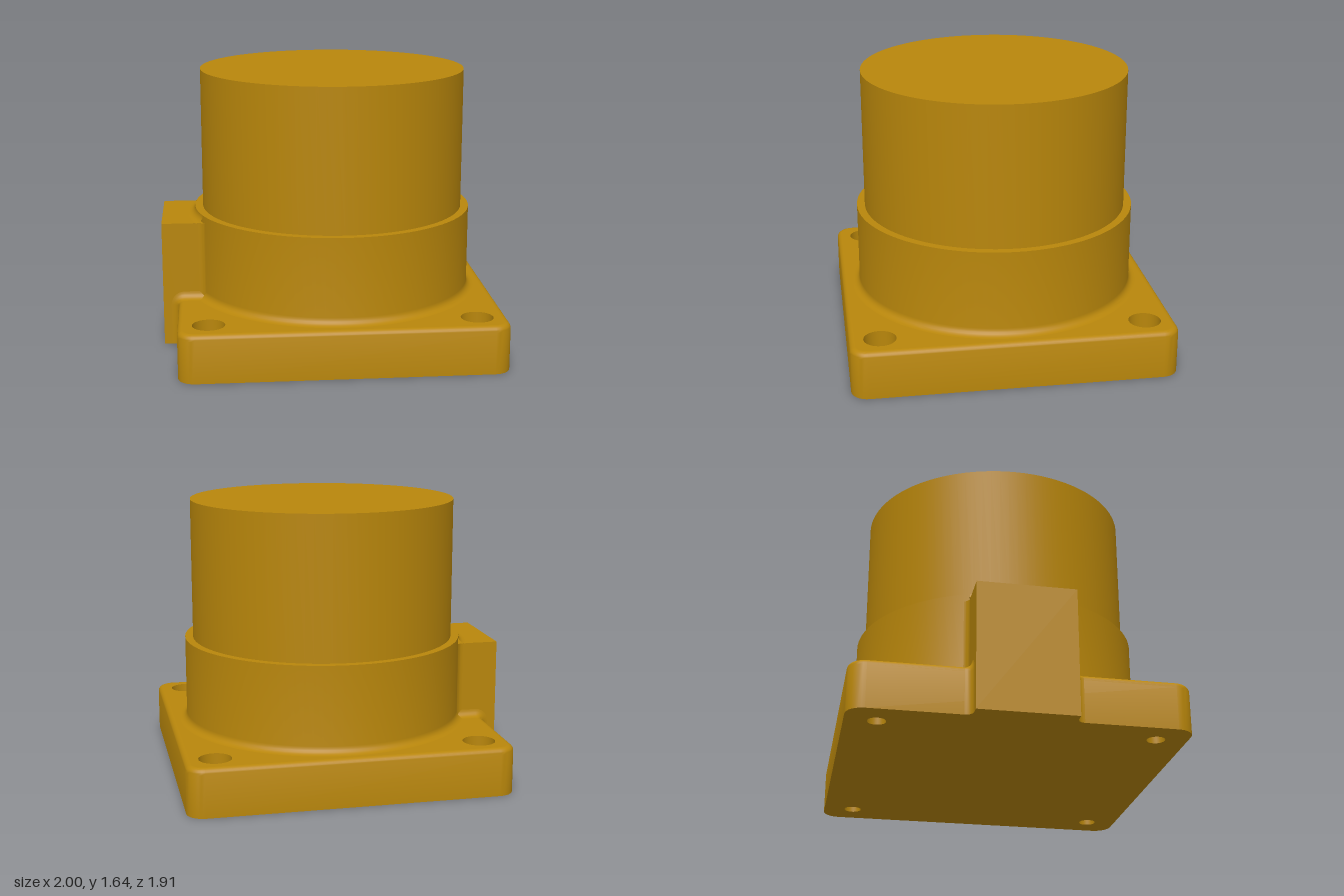
import * as THREE from 'three';
import { toCreasedNormals } from 'three/addons/utils/BufferGeometryUtils.js';

const CX = 0.045;      // axis of the round body
const HALF = 0.953;    // half width of the square flange
const TOP = 0.285;     // flange height
const CORNER = 0.1;    // flange corner radius
const EDGE = 0.035;    // rounded top edge of the flange
const FILLET = 0.045;  // concave fillets
const COLLAR_R = 0.845, COLLAR_TOP = 0.8;
const BODY_R = 0.797, BODY_TOP = 1.645;
const BLOCK_Z = 0.283, BLOCK_TOP = 0.755;
const SIDE_X = CX - HALF; // flange side that carries the block
const HOLE_AT = 0.775, BORE_R = 0.095, HOLE_R = 0.052, BORE_FLOOR = 0.14;

const quarter = (n) => Array.from({ length: n + 1 }, (_, i) => (i / n) * Math.PI / 2);

// Smooth skin over rows of [x, y, z] points
function skin(rows) {
  const w = rows[0].length, index = [];
  for (let i = 0; i < rows.length - 1; i++) {
    for (let j = 0; j < w - 1; j++) {
      const a = i * w + j, b = a + w;
      index.push(a, a + 1, b, b, a + 1, b + 1);
    }
  }
  const geo = new THREE.BufferGeometry();
  geo.setAttribute('position', new THREE.Float32BufferAttribute(rows.flat(2), 3));
  geo.setIndex(index);
  return toCreasedNormals(geo, Math.PI / 6);
}

function lathe(points, segments, start = 0, sweep = Math.PI * 2) {
  const pts = points.map(([x, y]) => new THREE.Vector2(x, y));
  return toCreasedNormals(new THREE.LatheGeometry(pts, segments, start, sweep), Math.PI / 6);
}

// Rounded square outline, drawn in by an inset
function outline(inset) {
  const pts = [], c = HALF - CORNER, r = CORNER - inset;
  [[1, 1], [-1, 1], [-1, -1], [1, -1]].forEach(([sx, sz], k) => {
    for (const t of quarter(8)) {
      const a = t + k * Math.PI / 2;
      pts.push([CX + sx * c + r * Math.cos(a), sz * c + r * Math.sin(a)]);
    }
  });
  return pts;
}

export function createModel() {
  const model = new THREE.Group();
  const material = new THREE.MeshStandardMaterial({ color: 0xb8860b });
  const openMaterial = new THREE.MeshStandardMaterial({ color: 0xb8860b, side: THREE.DoubleSide });
  const add = (name, geo, mat = material) => {
    const mesh = new THREE.Mesh(geo, mat);
    mesh.name = name;
    model.add(mesh);
    return mesh;
  };

  // Flange wall with rounded upper edge
  const layers = [[0, 0], ...quarter(6).map((t) =>
    [EDGE * (1 - Math.cos(t)), TOP - EDGE + EDGE * Math.sin(t)])];
  add('flangeWall', skin(layers.map(([inset, y]) => {
    const loop = outline(inset).map(([x, z]) => [x, y, z]);
    return [...loop, loop[0]];
  })), openMaterial);

  // Flange faces, pierced at the four corners
  const holes = [];
  for (const sx of [-1, 1]) for (const sz of [-1, 1]) holes.push([CX + sx * HOLE_AT, sz * HOLE_AT]);
  const face = (name, inset, y, radius, up) => {
    const shape = new THREE.Shape(outline(inset).map(([x, z]) => new THREE.Vector2(x, z)));
    for (const [x, z] of holes) {
      shape.holes.push(new THREE.Path().absarc(x, z, radius, 0, Math.PI * 2, true));
    }
    // the outline is symmetric in z, so either turn lays it flat
    const geo = new THREE.ShapeGeometry(shape, 16);
    geo.rotateX(up ? -Math.PI / 2 : Math.PI / 2);
    add(name, geo.translate(0, y, 0));
  };
  face('flangeTop', EDGE, TOP, BORE_R, true);
  face('flangeUnderside', 0, 0, HOLE_R, false);

  // Counterbored mounting holes
  const bore = lathe([[BORE_R, TOP], [BORE_R, BORE_FLOOR], [HOLE_R, BORE_FLOOR], [HOLE_R, 0]], 32);
  for (const [x, z] of holes) add('mountingHole', bore, openMaterial).position.set(x, 0, z);

  // Collar with fillet at its foot, and the main cylinder above
  const foot = quarter(6).map((t) => [
    COLLAR_R + FILLET * (1 - Math.sin(t)), TOP + FILLET * (1 - Math.cos(t))]);
  add('collarAndCylinder', lathe([...foot, [COLLAR_R, COLLAR_TOP], [BODY_R, COLLAR_TOP],
    [BODY_R, BODY_TOP], [0, BODY_TOP]], 96)).position.x = CX;

  // Side block, stepped to sit over the flange
  const profile = new THREE.Shape([[-1, 0], [SIDE_X, 0], [SIDE_X, 0.2], [-0.65, 0.2],
    [-0.65, BLOCK_TOP], [-1, BLOCK_TOP]].map(([x, y]) => new THREE.Vector2(x, y)));
  const block = new THREE.ExtrudeGeometry(profile, { depth: 2 * BLOCK_Z, bevelEnabled: false });
  add('sideBlock', block.translate(0, 0, -BLOCK_Z));

  // Fillet between block top and collar
  const topCove = quarter(6).map((t) => [
    COLLAR_R + FILLET * (1 - Math.sin(t)), BLOCK_TOP + FILLET * (1 - Math.cos(t))]);
  add('blockTopFillet', lathe(topCove, 16, Math.PI * 1.5 - 0.335, 0.67), openMaterial).position.x = CX;

  // Path up the flange side, over its rounded edge and in to the collar: [x, y, normal x, normal y]
  const path = [[SIDE_X, 0, -1, 0],
    ...quarter(6).map((t) => [SIDE_X + EDGE * (1 - Math.cos(t)), TOP - EDGE + EDGE * Math.sin(t),
      -Math.cos(t), Math.sin(t)]),
    [-0.74, TOP, 0, 1]];

  // Centre and sweep of the upright fillet between block side and collar
  const cz = BLOCK_Z + FILLET;
  const cx = CX - Math.sqrt((COLLAR_R + FILLET) ** 2 - cz ** 2);
  const sweep = Math.atan2(CX - cx, cz);

  for (const s of [-1, 1]) {
    const rows = path.map(([x, y, nx, ny]) => quarter(6).map((t) => {
      const d = FILLET * (1 - Math.cos(t));
      return [x + nx * d, y + ny * d, s * (BLOCK_Z + FILLET * (1 - Math.sin(t)))];
    }));
    // closes the foot of the fillet
    rows.unshift(rows[0].map(() => [SIDE_X, 0, s * BLOCK_Z]));
    add('blockFlangeFillet', skin(rows), openMaterial);

    const upright = [TOP, BLOCK_TOP].map((y) => quarter(6).map((t) => {
      const a = t / (Math.PI / 2) * sweep;
      return [cx + FILLET * Math.sin(a), y, s * (cz - FILLET * Math.cos(a))];
    }));
    // closes the top of the fillet
    upright.push(upright[1].map(() =>
      [CX - Math.sqrt(COLLAR_R ** 2 - BLOCK_Z ** 2), BLOCK_TOP, s * BLOCK_Z]));
    add('blockCollarFillet', skin(upright), openMaterial);
  }
  return model;
}
